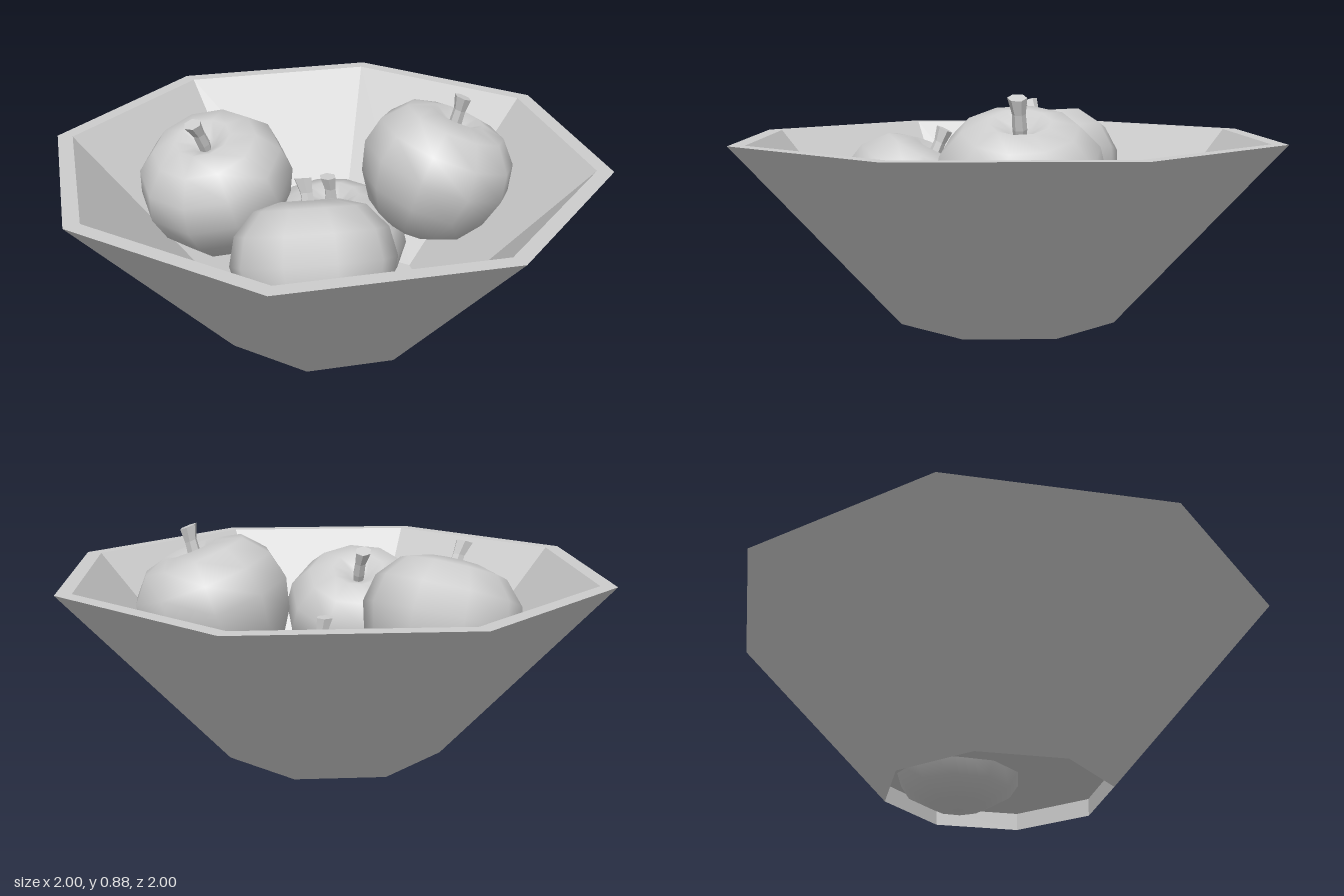
import * as THREE from 'three';

const clay = new THREE.MeshStandardMaterial({ color: 0xcccccc, side: THREE.DoubleSide });
clay.name = 'pale grey';

const points = (list) => list.map(([r, y]) => new THREE.Vector2(r, y));

// Sharp-edged geometry: unshared corners give every face its own normal
function faceted(geometry) {
  const flat = geometry.toNonIndexed();
  flat.computeVertexNormals();
  return flat;
}

// Eight-sided bowl with a thick wall and a floor recessed above the foot edge
function makeBowl() {
  const profile = points([
    [0.41, 0.125], [0.41, 0.06], [1, 0.715], [0.942, 0.715], [0.41, 0.125], [0, 0.125],
  ]);
  const bowl = new THREE.Mesh(faceted(new THREE.LatheGeometry(profile, 8)), clay);
  bowl.name = 'bowl';
  return bowl;
}

// Apple body: low-poly, smooth, dimpled at the top
const bodyGeometry = new THREE.LatheGeometry(points([
  [0, -0.25], [0.1, -0.23], [0.19, -0.18], [0.255, -0.08], [0.285, 0.03],
  [0.262, 0.13], [0.19, 0.21], [0.1, 0.235], [0.04, 0.2], [0, 0.17],
]), 10);

// Stem: flared at the tip and leaning a little
function makeStemGeometry() {
  const stem = new THREE.CylinderGeometry(0.032, 0.02, 0.15, 6, 3);
  stem.translate(0, 0.235, 0);
  const pos = stem.attributes.position;
  for (let i = 0; i < pos.count; i++) {
    const t = (pos.getY(i) - 0.16) / 0.15;
    const pinch = t > 0.5 && t < 0.8 ? 0.8 : 1;
    pos.setXYZ(i, pos.getX(i) * pinch, pos.getY(i), pos.getZ(i) * pinch + 0.02 * t * t);
  }
  return faceted(stem);
}
const stemGeometry = makeStemGeometry();

function makeApple(name, centre, lean) {
  const apple = new THREE.Group();
  apple.name = name;
  const body = new THREE.Mesh(bodyGeometry, clay);
  body.name = 'appleBody';
  const stem = new THREE.Mesh(stemGeometry, clay);
  stem.name = 'appleStem';
  apple.add(body, stem);
  apple.position.set(...centre);
  apple.quaternion.setFromUnitVectors(
    new THREE.Vector3(0, 1, 0), new THREE.Vector3(...lean).normalize());
  return apple;
}

export function createModel() {
  const model = new THREE.Group();
  model.name = 'bowlOfApples';
  model.add(
    makeBowl(),
    makeApple('bottomApple', [-0.1, 0.255, -0.1], [0, 1, 0]),
    makeApple('backApple', [0.13, 0.58, -0.4], [0.05, 0.3, -0.1]),
    makeApple('frontRightApple', [-0.31, 0.54, 0.265], [0.04, 0.3, 0.1]),
    makeApple('frontLeftApple', [0.28, 0.45, 0.25], [-0.12, 0.28, -0.06]),
  );
  return model;
}
